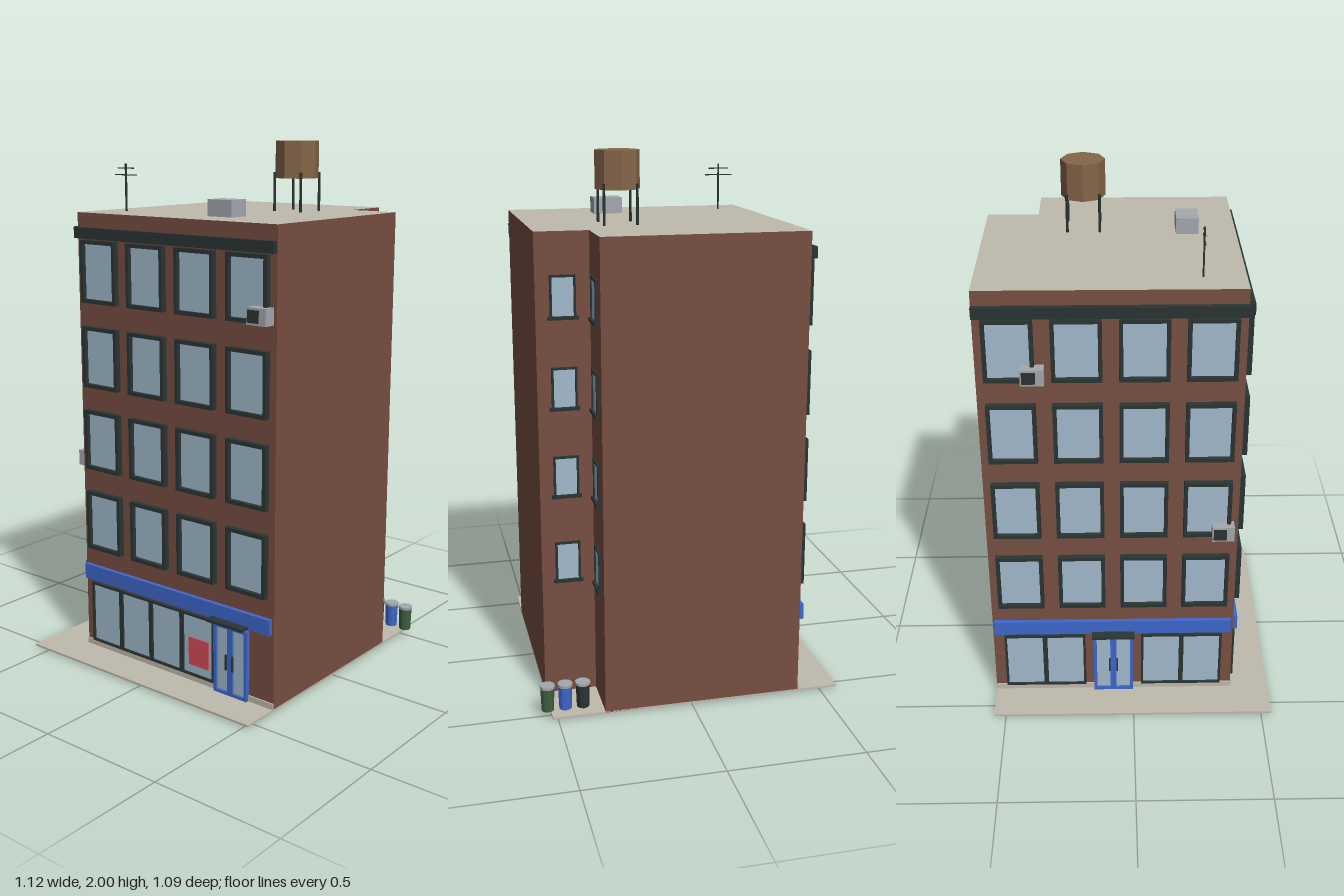
import * as THREE from 'three';

const mat = (name, color) => {
  const m = new THREE.MeshStandardMaterial({ color });
  m.name = name;
  return m;
};

export function createModel() {
  const brick = mat('brick', 0x784f42), stone = mat('stone', 0xc0baad), dark = mat('dark trim', 0x2a3533);
  const glass = mat('glass', 0xa2bacd), blue = mat('blue paint', 0x3f68cc), red = mat('red poster', 0xd64c58);
  const grey = mat('grey metal', 0xa4a8b0), wood = mat('wood', 0x86664a), green = mat('green paint', 0x3f6040);

  const model = new THREE.Group();
  model.name = 'cornerBuilding';

  const add = (parent, name, geo, material, x = 0, y = 0, z = 0) => {
    const m = new THREE.Mesh(geo, material);
    m.name = name;
    m.position.set(x, y, z);
    parent.add(m);
    return m;
  };
  // Box given by its limits on each axis
  const box = (parent, name, material, x0, x1, y0, y1, z0, z1) =>
    add(parent, name, new THREE.BoxGeometry(x1 - x0, y1 - y0, z1 - z0), material,
      (x0 + x1) / 2, (y0 + y1) / 2, (z0 + z1) / 2);
  const group = (parent, name, x, y, z, turn = 0) => {
    const g = new THREE.Group();
    g.name = name;
    g.position.set(x, y, z);
    g.rotation.y = turn;
    parent.add(g);
    return g;
  };
  // Rectangular frame with a hole, standing on the wall plane
  const frame = (parent, name, material, x0, x1, y0, y1, t, depth) => {
    const rect = (s, a, b, c, d) => s.moveTo(a, c).lineTo(b, c).lineTo(b, d).lineTo(a, d).closePath();
    const shape = rect(new THREE.Shape(), x0, x1, y0, y1);
    shape.holes.push(rect(new THREE.Path(), x0 + t, x1 - t, y0 + t, y1 - t));
    return add(parent, name, new THREE.ExtrudeGeometry(shape, { depth, bevelEnabled: false }), material);
  };
  const pane = (parent, name, material, x0, x1, y0, y1, t, depth, glassZ) => {
    frame(parent, name + 'Frame', material, x0, x1, y0, y1, t, depth);
    box(parent, name + 'Glass', glass, x0 + t, x1 - t, y0 + t, y1 - t, 0, glassZ);
  };

  // Pavement and the pads under the two doorsteps
  box(model, 'pavement', stone, -0.565, 0.52, 0.006, 0.014, -0.545, 0.54);
  box(model, 'frontDoorPad', stone, 0.235, 0.43, 0, 0.008, 0.39, 0.49);
  box(model, 'sideDoorPad', stone, -0.51, -0.41, 0, 0.008, -0.17, 0.02);

  // Brick block with a notch in the back corner, stone-coloured roof
  const plan = new THREE.Shape();
  [[-0.41, -0.39], [0.52, -0.39], [0.52, 0.35], [0.327, 0.35], [0.327, 0.545], [-0.41, 0.545]]
    .forEach(([x, y], i) => (i ? plan.lineTo(x, y) : plan.moveTo(x, y)));
  const block = new THREE.ExtrudeGeometry(plan, { depth: 1.73, bevelEnabled: false });
  block.rotateX(-Math.PI / 2);
  add(model, 'brickWallsAndRoof', block, [stone, brick], 0, 0.01, 0);

  // Double door with a canopy, centred on x
  const addDoor = (f, x) => {
    const d = group(f, 'doubleDoor', x, 0, 0);
    for (const s of [-1, 1]) {
      const x0 = Math.min(0, s * 0.077), x1 = Math.max(0, s * 0.077);
      pane(d, 'doorLeaf', blue, x0, x1, 0.014, 0.285, 0.012, 0.018, 0.009);
      box(d, 'doorHandle', dark, s * 0.015 - 0.003, s * 0.015 + 0.003, 0.115, 0.175, 0.018, 0.025);
    }
    box(d, 'doorCanopy', dark, -0.083, 0.083, 0.298, 0.308, 0, 0.053);
  };

  // Window air conditioner
  const addCooler = (f, x, y) => {
    const c = group(f, 'airConditioner', x, y, 0);
    box(c, 'coolerCase', grey, -0.041, 0.041, -0.03, 0.03, 0, 0.045);
    box(c, 'coolerGrille', dark, -0.036, 0.012, -0.022, 0.022, 0.045, 0.048);
  };

  // Street facade: four floors of windows, cornice, shop sign band and plinth
  const addFacade = (name, x, z, turn, width) => {
    const f = group(model, name, x, 0, z, turn), h = width / 2;
    for (let row = 0; row < 4; row++) {
      for (let col = 0; col < 4; col++) {
        const cx = -h + (col + 0.5) * width / 4, y0 = 0.43 + row * 0.325;
        pane(f, 'window', dark, cx - 0.088, cx + 0.088, y0, y0 + 0.235, 0.014, 0.022, 0.006);
      }
    }
    box(f, 'cornice', dark, -h, h, 1.645, 1.686, 0, 0.022);
    box(f, 'signBand', blue, -h + 0.007, h - 0.01, 0.298, 0.357, 0, 0.017);
    box(f, 'plinth', stone, -h, h, 0.012, 0.036, 0, 0.006);
    return f;
  };
  const shopWindows = (f, x0, count, w) => {
    for (let i = 0; i < count; i++)
      pane(f, 'shopWindow', dark, x0 + i * w, x0 + (i + 1) * w, 0.038, 0.286, 0.009, 0.013, 0.006);
  };

  const front = addFacade('frontFacade', 0.055, 0.39, 0, 0.93);
  shopWindows(front, -0.427, 4, 0.156);
  box(front, 'shopPoster', red, 0.075, 0.17, 0.08, 0.19, 0.006, 0.01);
  addDoor(front, 0.278);
  addCooler(front, 0.411, 1.435);

  const side = addFacade('sideFacade', -0.41, -0.0775, -Math.PI / 2, 0.935);
  shopWindows(side, -0.425, 2, 0.158);
  shopWindows(side, 0.109, 2, 0.158);
  addDoor(side, 0);
  addCooler(side, -0.27, 1.435);
  addCooler(side, 0.41, 0.78);

  // Small windows with sills on the two walls of the notch
  const notchWalls = [
    group(model, 'notchSideWindows', 0.327, 0, -0.446, Math.PI / 2),
    group(model, 'notchBackWindows', 0.424, 0, -0.35, Math.PI),
  ];
  for (const g of notchWalls) {
    for (let row = 0; row < 4; row++) {
      const y = 0.46 + row * 0.326;
      pane(g, 'smallWindow', dark, -0.046, 0.046, y, y + 0.152, 0.008, 0.009, 0.004);
      box(g, 'windowSill', dark, -0.054, 0.054, y - 0.004, y + 0.008, 0, 0.015);
    }
  }

  // Row of bins in the notch
  [[0.403, dark], [0.468, blue], [0.533, green]].forEach(([x, paint]) => {
    const b = group(model, 'bin', x, 0, -0.503);
    const body = new THREE.CylinderGeometry(0.026, 0.023, 0.088, 10).toNonIndexed();
    body.computeVertexNormals();
    add(b, 'binBody', body, paint, 0, 0.071, 0);
    add(b, 'binLid', new THREE.CylinderGeometry(0.028, 0.028, 0.01, 10), grey, 0, 0.12, 0);
  });

  // Rooftop water tank on four legs
  const tank = group(model, 'waterTank', 0.192, 1.74, -0.174);
  const barrel = new THREE.CylinderGeometry(0.082, 0.082, 0.137, 8).toNonIndexed();
  barrel.computeVertexNormals();
  add(tank, 'tankBarrel', barrel, wood, 0, 0.1915, 0);
  for (const sx of [-1, 1]) for (const sz of [-1, 1])
    add(tank, 'tankLeg', new THREE.CylinderGeometry(0.005, 0.005, 0.15, 6), dark, sx * 0.06, 0.07, sz * 0.06);

  // Roof vent box and aerial
  box(model, 'roofVent', grey, 0.105, 0.215, 1.74, 1.8, 0.167, 0.25);
  const aerial = group(model, 'aerial', -0.3, 1.74, 0.24);
  box(aerial, 'aerialPole', dark, -0.003, 0.003, 0, 0.177, -0.003, 0.003);
  box(aerial, 'aerialBar', dark, -0.054, 0.054, 0.133, 0.137, -0.002, 0.002);
  box(aerial, 'aerialBar', dark, -0.04, 0.04, 0.158, 0.162, -0.002, 0.002);

  return model;
}
